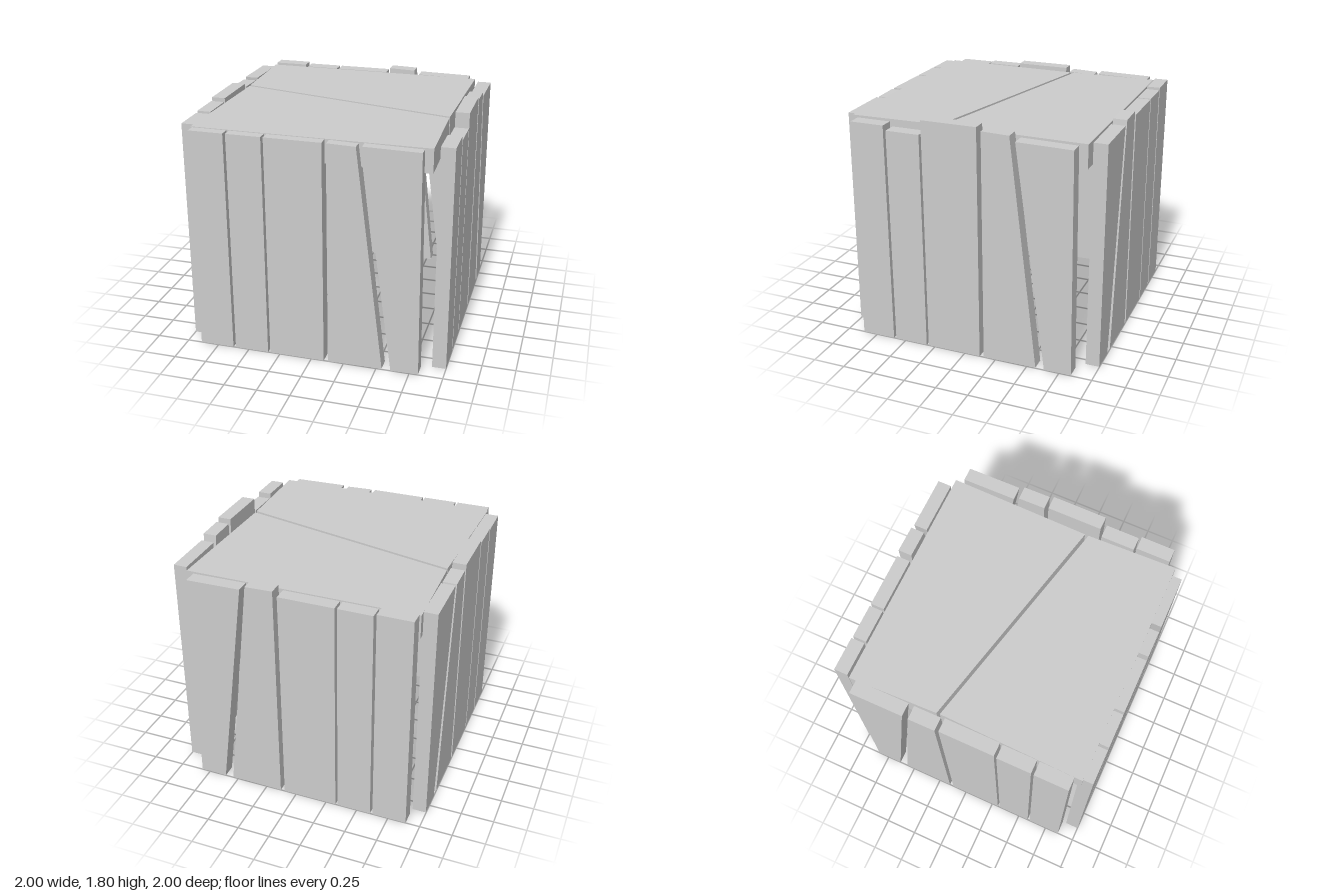
import * as THREE from 'three';

const material = new THREE.MeshStandardMaterial({ color: 0xcccccc, flatShading: true });

// Extrude a polygon given as [x, y] corners
function slab(name, points, depth) {
  const shape = new THREE.Shape(points.map(([x, y]) => new THREE.Vector2(x, y)));
  const geometry = new THREE.ExtrudeGeometry(shape, { depth, bevelEnabled: false });
  const mesh = new THREE.Mesh(geometry, material);
  mesh.name = name;
  return mesh;
}

// Plank edges along a wall: bottom left, bottom right, top right, top left
const planks = [
  [-0.865, -0.602, -0.602, -0.865],
  [-0.582, -0.32, -0.32, -0.582],
  [-0.302, 0.122, 0.122, -0.302],
  [0.155, 0.568, 0.365, 0.155],
  [0.635, 0.842, 0.825, 0.407],
];

// A wall of five uneven planks, the slanted pair lifted slightly off the ground
function wall(name, heights, offset) {
  const group = new THREE.Group();
  group.name = name;
  planks.forEach(([bl, br, tr, tl], i) => {
    const lift = i > 2 ? 0.006 : 0;
    const h = heights[i];
    const corners = [[bl, 0], [br, lift], [tr, h - lift], [tl, h]];
    group.add(slab('plank', corners.map(([u, y]) => [u + offset, y]), 0.105));
  });
  return group;
}

export function createModel() {
  const model = new THREE.Group();
  model.name = 'plankCrate';

  // Front and back walls
  const front = wall('frontWall', [1.725, 1.725, 1.725, 1.725, 1.725], -0.025);
  front.position.z = 0.895;
  const back = wall('backWall', [1.745, 1.73, 1.73, 1.766, 1.73], -0.025);
  back.position.z = -1;

  // Side walls, turned so their planks run from front to back
  const left = wall('leftWall', [1.725, 1.69, 1.8, 1.775, 1.73], 0);
  left.position.x = 0.895;
  const right = wall('rightWall', [1.725, 1.735, 1.76, 1.73, 1.735], 0);
  right.position.x = -1;
  left.rotation.y = right.rotation.y = Math.PI / 2;
  model.add(front, back, left, right);

  // Two thick lid boards split by a diagonal gap, corners as [x, z]
  const lids = {
    backLidBoard: [[-0.9, -0.88], [-0.878, -0.198], [0.842, 0.205], [0.862, -0.88]],
    frontLidBoard: [[-0.875, -0.173], [-0.9, 0.925], [0.862, 0.925], [0.842, 0.232]],
  };
  for (const [name, corners] of Object.entries(lids)) {
    const board = slab(name, corners.map(([x, z]) => [x, -z]), 0.18);
    board.rotation.x = -Math.PI / 2;
    board.position.y = 1.55;
    model.add(board);
  }
  return model;
}
